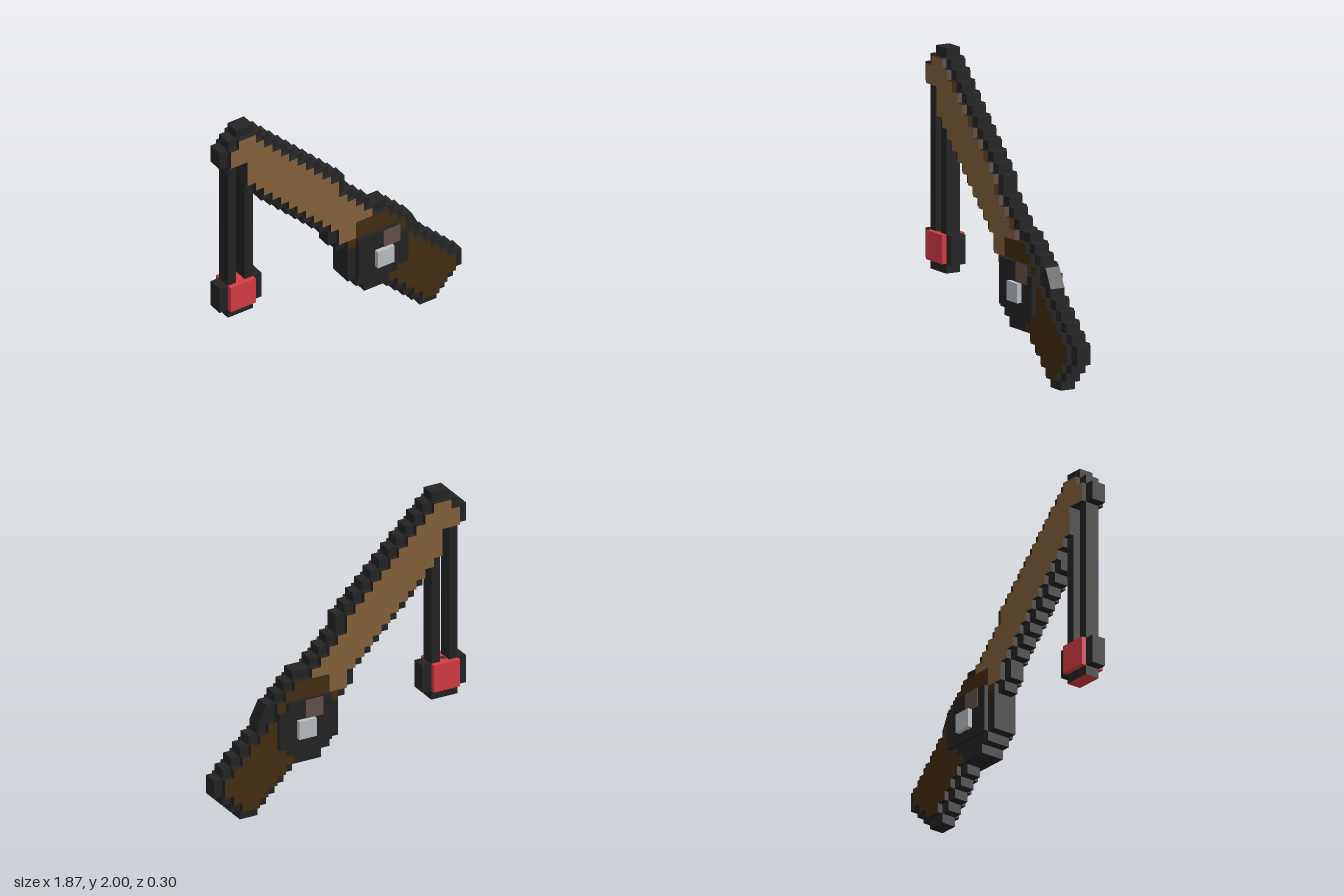
import * as THREE from 'three';

const S = 2 / 31;              // one pixel of the stepped grid
const X0 = -14.5 * S;          // left edge of column 0
const THIN = 0.052, BODY = 0.086, REEL = 0.117, KNOB = 0.148;

const mat = (name, color) => {
  const m = new THREE.MeshStandardMaterial({ color });
  m.name = name;
  return m;
};

export function createModel() {
  const black = mat('outline black', 0x242424);
  const tan = mat('light wood', 0x84623b);
  const brown = mat('dark wood', 0x432d10);
  const red = mat('float red', 0xd63c44);
  const grey = mat('knob grey', 0xbcc0c4);
  const mauve = mat('reel brown', 0x655249);

  const model = new THREE.Group();
  const part = (name) => {
    const g = new THREE.Group();
    g.name = name;
    model.add(g);
    return g;
  };

  // Block covering columns c0..c1 and rows r0..r1 (row 0 on top), from z0 to z1
  const block = (parent, name, c0, c1, r0, r1, z0, z1, material) => {
    const geo = new THREE.BoxGeometry((c1 - c0 + 1) * S, (r1 - r0 + 1) * S, z1 - z0);
    const mesh = new THREE.Mesh(geo, material);
    mesh.position.set(X0 + (c0 + c1 + 1) / 2 * S, 2 - (r0 + r1 + 1) / 2 * S, (z0 + z1) / 2);
    mesh.name = name;
    parent.add(mesh);
    return mesh;
  };

  // Raised row: wood caps and black stepped sides, front half edged in wood
  const raised = (parent, name, r, c0, c1, wood, edge) => {
    block(parent, name, c0, c1, r, r, 0, BODY, [edge, black, black, black, wood, wood]);
    block(parent, name, c0, c1, r, r, -BODY, 0, [black, black, black, black, wood, wood]);
  };

  // Black stepped outline: first and last column of every row from the top
  const outline = part('outline');
  const rows = [
    [2, 3], [1, 4], [0, 5], [0, 6], [3, 7], [3, 8], [3, 9], [4, 10],
    [5, 11], [5, 12], [6, 13], [7, 14], [8, 14], [9, 15], [10, 16], [11, 17],
    [12, 19], [13, 20], [13, 21], [14, 22], [15, 22], [15, 23], [15, 24], [15, 25],
    [16, 26], [17, 27], [20, 28], [21, 28], [22, 27], [23, 26], [24, 25],
  ];
  rows.forEach(([a, b], r) => block(outline, 'outlineRow', a, b, r, r, -THIN, THIN, black));

  // Light wooden pole, stepping down one column per row
  const pole = part('pole');
  for (let r = 1; r <= 18; r++) {
    const [a, b] = rows[r];
    const start = r >= 4 && r <= 8 ? a : a + 1;
    const end = r >= 16 ? [17, 15, 15][r - 16] : r === 12 ? 13 : b - 1;
    raised(pole, 'poleRow', r, start, end, tan, r % 3 ? mauve : brown);
  }

  // Dark wood hood over the reel
  const hood = part('reelHood');
  [[17, 16, 19], [18, 16, 20], [19, 15, 21]].forEach(([r, a, b]) =>
    raised(hood, 'hoodRow', r, a, b, brown, black));

  // Dark wooden grip
  const grip = part('grip');
  [[21, 22, 22], [22, 22, 23], [23, 22, 24], [24, 21, 25], [25, 20, 26],
    [26, 21, 27], [27, 22, 27], [28, 23, 26], [29, 24, 25]].forEach(([r, a, b]) =>
    raised(grip, 'gripRow', r, a, b, brown, black));
  block(grip, 'gripEnd', 24, 25, 30, 30, -THIN, THIN, [black, black, black, red, black, black]);

  // Reel: thick black drum with a lower lip
  const reel = part('reel');
  block(reel, 'drumTop', 16, 20, 19, 19, -REEL, REEL, black);
  block(reel, 'drum', 16, 21, 20, 23, -REEL, REEL, black);
  block(reel, 'drumSide', 15, 15, 20, 23, -BODY, BODY, black);
  block(reel, 'lowerLip', 16, 20, 24, 24, -BODY, BODY, black);
  block(reel, 'lowerLip', 17, 19, 25, 25, -BODY, BODY, black);
  block(reel, 'frontSpool', 19, 20, 19, 20, REEL, REEL + 0.004, mauve);
  block(reel, 'backSpool', 17, 18, 19, 20, -REEL - 0.004, -REEL, mauve);
  block(reel, 'frontKnob', 18, 19, 21, 22, REEL, KNOB, grey);
  block(reel, 'backKnob', 18, 19, 21, 22, -KNOB, -REEL, grey);

  // Sloping shoulder between reel and grip
  const shoulder = new THREE.Shape([
    new THREE.Vector2(X0 + 23 * S, 2 - 19 * S),
    new THREE.Vector2(X0 + 23 * S, 2 - 21 * S),
    new THREE.Vector2(X0 + 24 * S, 2 - 21 * S),
  ]);
  const shoulderMesh = new THREE.Mesh(
    new THREE.ExtrudeGeometry(shoulder, { depth: 2 * THIN, bevelEnabled: false }), black);
  shoulderMesh.position.z = -THIN;
  shoulderMesh.name = 'shoulder';
  reel.add(shoulderMesh);

  // Two hanging lines
  const lines = part('fishingLine');
  block(lines, 'outerLine', 1, 1, 4, 18, -THIN, THIN, black);
  block(lines, 'innerLine', 3, 3, 7, 18, -THIN, THIN, black);

  // Float: red block in a black frame
  const float = part('float');
  block(float, 'floatFrame', 0, 4, 19, 21, -THIN, THIN, black);
  block(float, 'floatBase', 1, 3, 22, 22, -THIN, THIN, [black, black, black, red, black, black]);
  block(float, 'floatBody', 1, 3, 19, 21, -BODY, BODY, red);

  return model;
}
